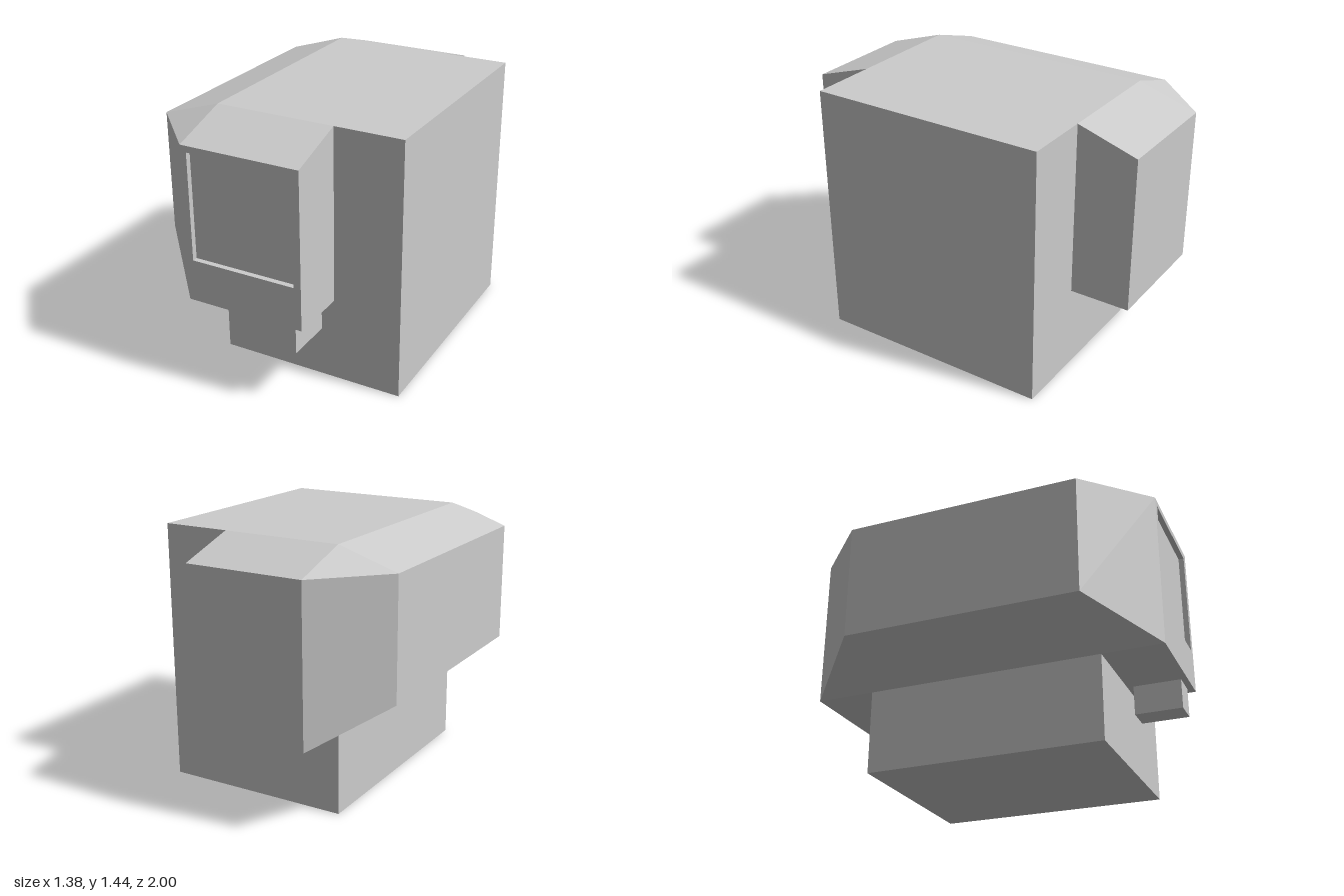
import * as THREE from 'three';

const casing = new THREE.MeshStandardMaterial({ color: 0xcccccc });
casing.name = 'casing grey';

function add(group, name, geometry, x = 0, y = 0, z = 0) {
  const mesh = new THREE.Mesh(geometry, casing);
  mesh.name = name;
  mesh.position.set(x, y, z);
  group.add(mesh);
}

// Box given by its minimum and maximum corners
function addBox(group, name, [x0, y0, z0], [x1, y1, z1]) {
  add(group, name, new THREE.BoxGeometry(x1 - x0, y1 - y0, z1 - z0),
    (x0 + x1) / 2, (y0 + y1) / 2, (z0 + z1) / 2);
}

// Joins cross-sections running along +z, closing only the back end
function loft(sections) {
  const positions = [];
  const tri = (a, b, c) => {
    const t = new THREE.Triangle(a, b, c);
    if (t.getArea() > 1e-6) for (const p of [a, b, c]) positions.push(p.x, p.y, p.z);
  };
  const rings = sections.map(({ z, points }) => points.map(([x, y]) => new THREE.Vector3(x, y, z)));
  const n = rings[0].length;
  for (let s = 0; s < rings.length - 1; s++) {
    const a = rings[s], b = rings[s + 1];
    for (let i = 0; i < n; i++) {
      const j = (i + 1) % n;
      tri(a[i], a[j], b[i]);
      tri(a[j], b[j], b[i]);
    }
  }
  for (let i = 1; i < n - 1; i++) tri(rings[0][0], rings[0][i + 1], rings[0][i]);
  const geometry = new THREE.BufferGeometry();
  geometry.setAttribute('position', new THREE.Float32BufferAttribute(positions, 3));
  geometry.computeVertexNormals();
  return geometry;
}

function rectangle(path, x0, y0, x1, y1) {
  return path.moveTo(x0, y0).lineTo(x1, y0).lineTo(x1, y1).lineTo(x0, y1).closePath();
}

export function createModel() {
  const group = new THREE.Group();
  group.name = 'cabinet';

  addBox(group, 'body', [-0.36, 0, -0.665], [0.69, 1.44, 0.665]);

  // Overhanging head with bevelled corners
  const end = [[0.31, 0.47], [0.31, 1.335], [-0.36, 1.335], [-0.36, 1.335], [-0.36, 0.47], [-0.36, 0.47]];
  const middle = [[0.31, 0.47], [0.31, 1.44], [-0.36, 1.44], [-0.69, 1.335], [-0.69, 0.67], [-0.36, 0.47]];
  add(group, 'head', loft([
    { z: -1, points: end },
    { z: -0.665, points: middle },
    { z: 0.665, points: middle },
    { z: 1, points: end },
  ]));

  // Front frame around the recessed panel
  const frame = rectangle(new THREE.Shape(), -0.36, 0.47, 0.31, 1.335);
  frame.holes.push(rectangle(new THREE.Path(), -0.325, 0.705, 0.27, 1.3));
  add(group, 'frontFrame', new THREE.ExtrudeGeometry(frame, { depth: 0.03, bevelEnabled: false }), 0, 0, 0.97);
  add(group, 'recessedPanel', new THREE.PlaneGeometry(0.595, 0.595), -0.0275, 1.0025, 0.97);

  // Small block under the front of the head
  addBox(group, 'lowerBlock', [0.11, 0.305, 0.7], [0.255, 0.47, 0.965]);

  return group;
}
